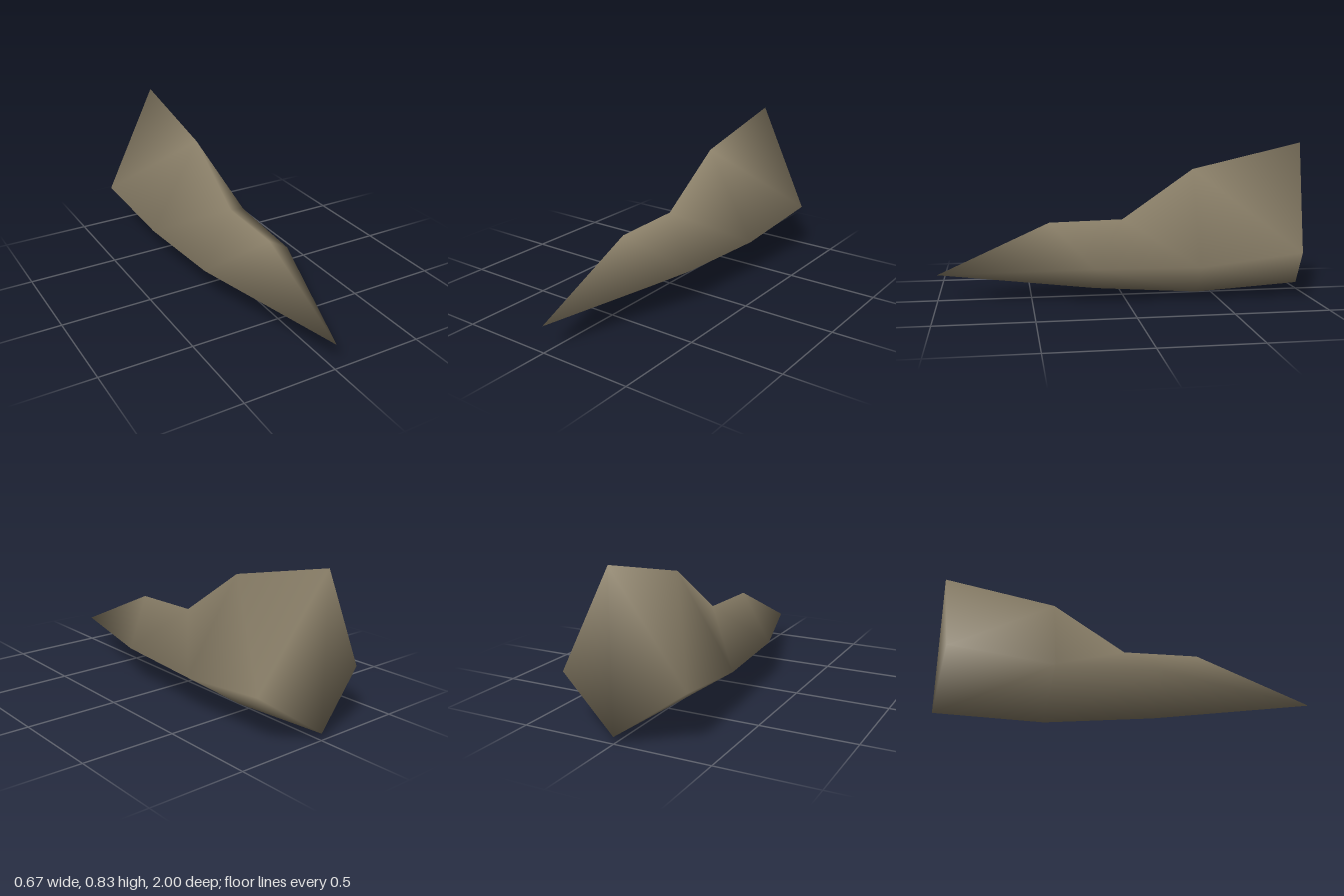
import * as THREE from 'three';

// Corner points of the tapered shard: ridge (t), flank (s), keel (b) and nose tip (p)
const POINTS = {
  p: [0, 0.14, 1],
  t1: [0, 0.41, 0.4], t2: [0, 0.42, 0], t3: [0, 0.69, -0.39], t4: [0, 0.83, -1],
  s1: [0.26, 0.2, 0.18], s2: [0.3, 0.2, -0.37], s3: [0.335, 0.27, -0.91],
  b1: [0, 0.04, 0.15], b2: [0, 0, -0.42], b3: [0, 0.035, -1],
};

// Faces of the +x half, counter-clockwise from outside
const HALF = [
  'p s1 t1', 't1 s1 t2', 't2 s1 s2', 't2 s2 t3', 't3 s2 s3', 't3 s3 t4', // upper flank
  'p b1 s1', 's1 b1 b2', 's1 b2 s2', 's2 b2 b3', 's2 b3 s3',             // lower flank
  't4 s3 b3',                                                            // rear
];

function shardGeometry() {
  const names = Object.keys(POINTS);
  const positions = [];
  const right = {}, left = {};
  for (const name of names) {
    const [x, y, z] = POINTS[name];
    left[name] = right[name] = positions.length / 3;
    positions.push(x, y, z);
    if (x > 0) {
      right[name] = positions.length / 3;
      positions.push(-x, y, z);
    }
  }
  // Mirror each face across x = 0, reversing its corner order
  const index = [];
  for (const face of HALF) {
    const [a, b, c] = face.split(' ');
    index.push(left[a], left[b], left[c], right[a], right[c], right[b]);
  }
  const geometry = new THREE.BufferGeometry();
  geometry.setAttribute('position', new THREE.Float32BufferAttribute(positions, 3));
  geometry.setIndex(index);
  geometry.computeVertexNormals(); // smooth across every edge
  return geometry;
}

export function createModel() {
  const stone = new THREE.MeshStandardMaterial({ color: 0x8b8069 });
  stone.name = 'stoneBrown';

  const group = new THREE.Group();
  group.name = 'shard';
  const body = new THREE.Mesh(shardGeometry(), stone);
  body.name = 'shardBody';
  group.add(body);
  return group;
}
